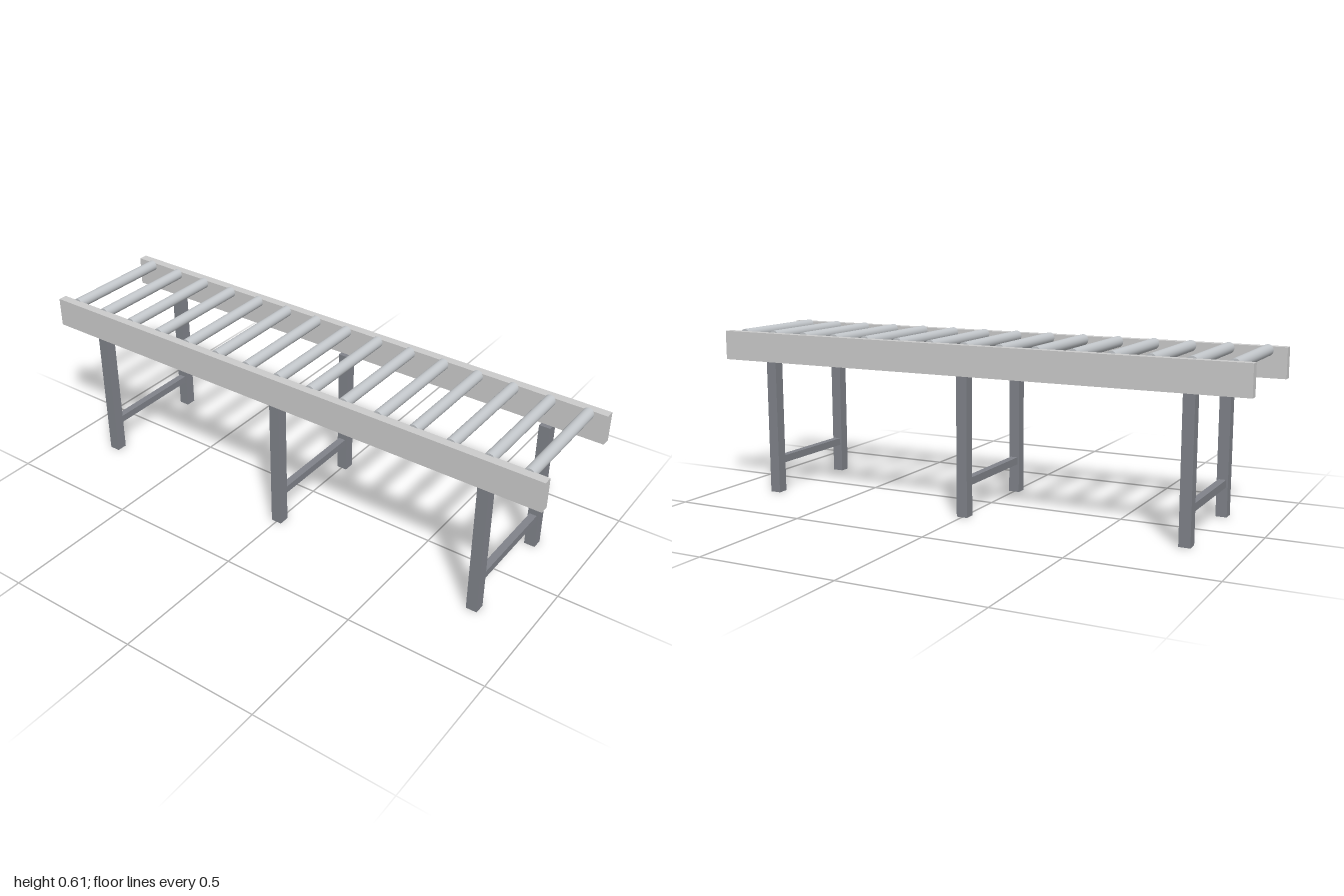
import * as THREE from 'three';

export function createModel() {
  const model = new THREE.Group();
  model.name = 'rollerConveyor';

  const railMat = new THREE.MeshStandardMaterial({ color: 0xcccccc });
  const rollerMat = new THREE.MeshStandardMaterial({ color: 0xc4c8cc });
  const frameMat = new THREE.MeshStandardMaterial({ color: 0x80838a });

  const add = (parent, name, geometry, material, x, y, z) => {
    const mesh = new THREE.Mesh(geometry, material);
    mesh.name = name;
    mesh.position.set(x, y, z);
    parent.add(mesh);
  };

  // Side rails
  const railGeo = new THREE.BoxGeometry(0.032, 0.107, 2);
  add(model, 'leftRail', railGeo, railMat, 0.22, 0.548, 0);
  add(model, 'rightRail', railGeo, railMat, -0.22, 0.548, 0);

  // Rollers, evenly spaced and standing just proud of the rails
  const rollers = new THREE.Group();
  rollers.name = 'rollers';
  model.add(rollers);
  const rollerGeo = new THREE.CylinderGeometry(0.02, 0.02, 0.413, 24).rotateZ(Math.PI / 2);
  const count = 15;
  const pitch = 2 / count;
  for (let i = 0; i < count; i++) {
    add(rollers, 'roller', rollerGeo, rollerMat, 0, 0.589, (i - (count - 1) / 2) * pitch);
  }

  // Leg frames: two posts joined by a low cross bar
  const legGeo = new THREE.BoxGeometry(0.04, 0.495, 0.04);
  const barGeo = new THREE.BoxGeometry(0.374, 0.027, 0.027);
  for (const z of [-0.8, 0, 0.8]) {
    const frame = new THREE.Group();
    frame.name = 'legFrame';
    frame.position.z = z;
    add(frame, 'leftLeg', legGeo, frameMat, 0.207, 0.2475, 0);
    add(frame, 'rightLeg', legGeo, frameMat, -0.207, 0.2475, 0);
    add(frame, 'crossBar', barGeo, frameMat, 0, 0.12, 0);
    model.add(frame);
  }

  return model;
}
